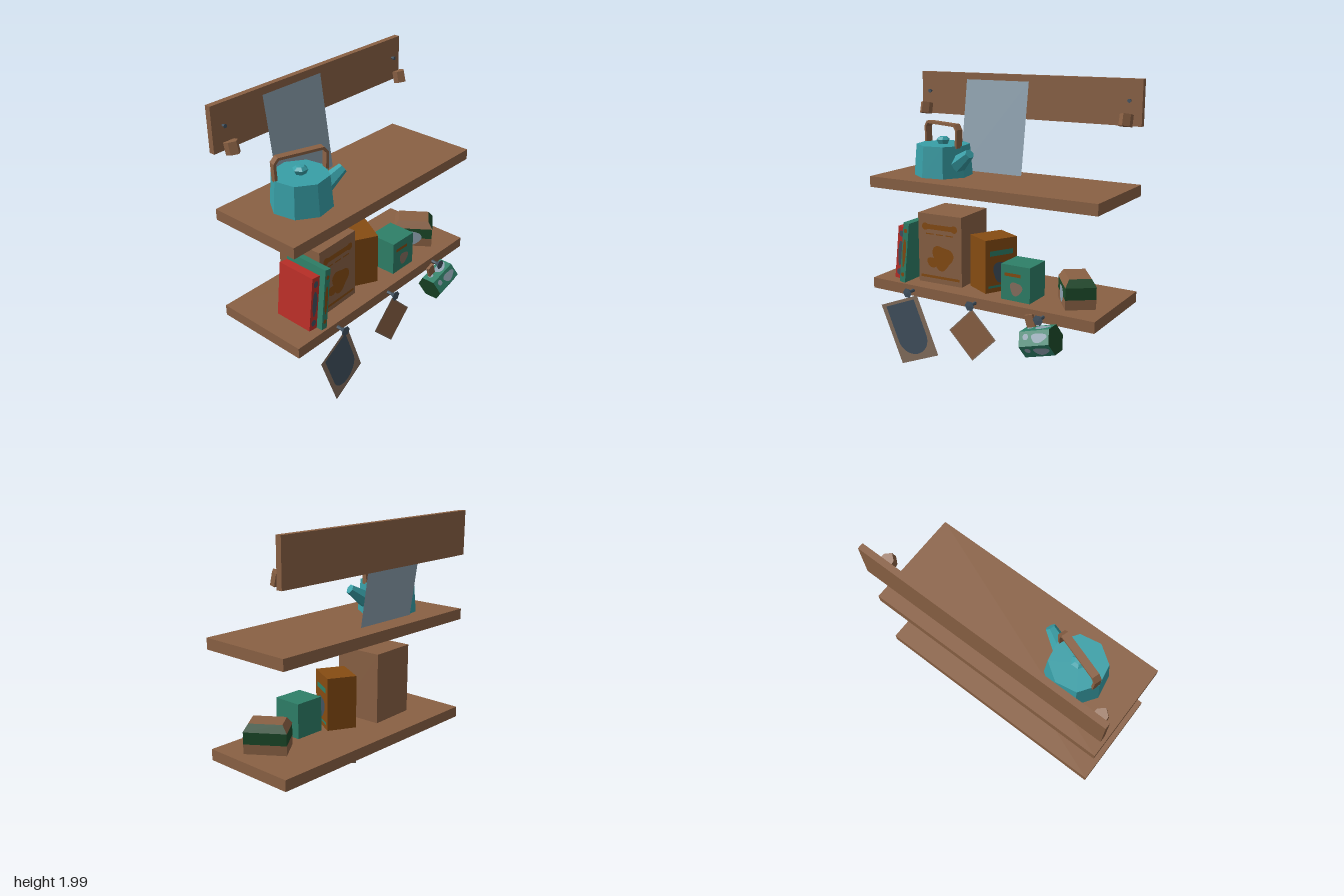
import * as THREE from 'three';

const mat = (name, color, flat = true) => {
  const m = new THREE.MeshStandardMaterial({ color, side: THREE.DoubleSide, flatShading: flat });
  m.name = name;
  return m;
};

export function createModel() {
  const wood = mat('wood brown', 0x8a6144);
  const slate = mat('dark slate', 0x425260);
  const glass = mat('pale blue grey', 0x8b9fad);
  const taupe = mat('taupe', 0x86705f);
  const teal = mat('kettle teal', 0x389fa7);
  const green = mat('sea green', 0x2e8068);
  const darkGreen = mat('dark green', 0x1c4a2a);
  const red = mat('red', 0xbb2f28);
  const orange = mat('burnt orange', 0x864c12);

  const root = new THREE.Group();
  root.name = 'kitchenShelf';

  const add = (parent, name, geo, material, x = 0, y = 0, z = 0) => {
    const m = new THREE.Mesh(geo, material);
    m.name = name;
    m.position.set(x, y, z);
    parent.add(m);
    return m;
  };
  const group = (name, x, y, z, parent = root) => {
    const g = new THREE.Group();
    g.name = name;
    g.position.set(x, y, z);
    parent.add(g);
    return g;
  };
  const box = (parent, name, w, h, d, m, x, y, z) => add(parent, name, new THREE.BoxGeometry(w, h, d), m, x, y, z);
  const poly = (pts) => new THREE.Shape(pts.map((p) => new THREE.Vector2(p[0], p[1])));

  // Flat painted details; they face +x, with u running towards -z
  const blob = (rx, ry, wave = 0) => {
    const pts = [];
    for (let i = 0; i < 28; i++) {
      const a = (i / 28) * Math.PI * 2;
      const k = 1 + wave * Math.sin(3 * a + 0.6);
      pts.push([rx * k * Math.cos(a), ry * k * Math.sin(a)]);
    }
    return poly(pts);
  };
  const bar = (w, h) => poly([[-w / 2, -h / 2], [w / 2, -h / 2], [w / 2, h / 2], [-w / 2, h / 2]]);
  const paint = (parent, name, shape, m, x, y, z) => {
    const p = add(parent, name, new THREE.ShapeGeometry(shape), m, x, y, z);
    p.rotation.y = Math.PI / 2;
    return p;
  };

  // Shelves and back board
  box(root, 'backBoard', 0.04, 0.3, 1.71, wood, -0.395, 1.85, 0);
  box(root, 'upperShelf', 0.675, 0.075, 1.71, wood, -0.0775, 1.2825, 0);
  box(root, 'lowerShelf', 0.675, 0.075, 1.71, wood, -0.0775, 0.5525, 0);

  // Leaning pane
  const pane = add(root, 'leaningPane', new THREE.PlaneGeometry(0.5, 0.642), glass, -0.318, 1.638, 0.21);
  pane.rotation.set(0, Math.PI / 2, Math.atan2(0.095, 0.635), 'ZYX');

  // Nails and small brown blocks at both ends of the board
  for (const s of [-1, 1]) {
    const nail = add(root, 'boardNail', new THREE.CylinderGeometry(0.014, 0.006, 0.028, 6), slate, -0.362, 1.863, 0.775 * s);
    nail.rotation.z = -Math.PI / 2;
    const g = group('smallPegBlock', -0.288, 1.748, 0.775 * s);
    g.rotation.z = 0.24;
    const geo = new THREE.ExtrudeGeometry(
      poly([[-0.035, -0.042], [0.003, -0.038], [0.036, 0], [0.003, 0.038], [-0.035, 0.042]]),
      { depth: 0.078, bevelEnabled: false });
    geo.translate(0, 0, -0.039);
    geo.rotateX(-Math.PI / 2);
    add(g, 'pegBlock', geo, wood);
  }

  // Kettle: octagonal body, lid knob, strap handle, angled spout
  const kettle = group('kettle', -0.065, 1.32, 0.463);
  const body = add(kettle, 'kettleBody', new THREE.CylinderGeometry(0.184, 0.202, 0.215, 8), teal, 0, 0.1075, 0);
  body.rotation.y = THREE.MathUtils.degToRad(33);
  add(kettle, 'lidKnob', new THREE.LatheGeometry(
    [[0.001, 0.215], [0.036, 0.215], [0.05, 0.245], [0.028, 0.263], [0, 0.265]].map((p) => new THREE.Vector2(...p)), 6), teal);
  const axis = group('kettleAxis', 0, 0, 0, kettle);
  axis.rotation.y = 1.245;
  const strap = new THREE.ExtrudeGeometry(poly([
    [-0.18, 0.2], [-0.185, 0.325], [-0.155, 0.362], [0.155, 0.362], [0.185, 0.325], [0.18, 0.2],
    [0.162, 0.2], [0.167, 0.32], [0.147, 0.344], [-0.147, 0.344], [-0.167, 0.32], [-0.162, 0.2]]),
  { depth: 0.05, bevelEnabled: false });
  strap.translate(0, 0, -0.025);
  add(axis, 'kettleHandle', strap, wood);
  const from = new THREE.Vector3(0.16, 0.09, 0), to = new THREE.Vector3(0.293, 0.178, 0);
  const spout = add(axis, 'kettleSpout', new THREE.CylinderGeometry(0.034, 0.062, from.distanceTo(to), 6), teal);
  spout.position.lerpVectors(from, to, 0.5);
  spout.quaternion.setFromUnitVectors(new THREE.Vector3(0, 1, 0), to.clone().sub(from).normalize());

  // Leaning books with painted spines
  const book = (name, w, h, t, m, ink, x, y, z) => {
    const g = group(name, x, y, z);
    g.rotation.x = -0.113;
    box(g, 'bookBlock', w, h, t, m, 0, 0, 0);
    const f = w / 2 + 0.002;
    paint(g, 'spineLabel', blob(t * 0.3, h * 0.24, 0.06), ink, f, 0, 0);
    for (const s of [-1, 1]) paint(g, 'spineDot', blob(t * 0.3, t * 0.35), ink, f, s * h * 0.37, 0);
  };
  book('redBook', 0.285, 0.378, 0.065, red, slate, 0.0625, 0.79, 0.65);
  book('greenBook', 0.33, 0.43, 0.045, green, orange, 0.08, 0.807, 0.588);

  // Large brown carton
  const carton = group('brownCarton', -0.0325, 0.59, 0.37);
  carton.rotation.y = 0.04;
  box(carton, 'cartonBody', 0.342, 0.49, 0.346, wood, 0, 0.245, 0);
  paint(carton, 'cartonBanner', bar(0.25, 0.035), orange, 0.173, 0.4, 0);
  for (const s of [-1, 1]) paint(carton, 'bannerEnd', blob(0.026, 0.026), orange, 0.174, 0.4, s * 0.115);
  for (const s of [-1, 0, 1]) paint(carton, 'cartonLine', bar(0.06, 0.008), orange, 0.173, 0.35, s * 0.08);
  paint(carton, 'cartonEmblem', blob(0.08, 0.085, 0.16), orange, 0.173, 0.19, -0.02);
  paint(carton, 'emblemTail', blob(0.05, 0.035, 0.1), orange, 0.174, 0.15, 0.055);
  paint(carton, 'cartonFooter', bar(0.31, 0.018), orange, 0.173, 0.045, 0);

  // Orange box turned on the shelf
  const tin = group('orangeBox', 0, 0.59, 0.0175);
  tin.rotation.y = -THREE.MathUtils.degToRad(28);
  box(tin, 'orangeBoxBody', 0.245, 0.365, 0.204, orange, 0, 0.1825, 0);
  const tinFace = group('orangeBoxFace', 0, 0, -0.104, tin);
  tinFace.rotation.y = Math.PI / 2;
  paint(tinFace, 'boxBanner', bar(0.18, 0.035), green, 0, 0.27, 0);
  paint(tinFace, 'boxEmblem', blob(0.065, 0.07, 0.12), slate, 0, 0.14, 0);
  paint(tinFace, 'boxFooter', bar(0.2, 0.016), green, 0, 0.04, 0);

  // Small green box
  const small = group('greenBox', 0.08, 0.59, -0.258);
  box(small, 'greenBoxBody', 0.205, 0.24, 0.215, green, 0, 0.12, 0);
  paint(small, 'greenBoxBanner', bar(0.12, 0.022), orange, 0.105, 0.175, 0.02);
  paint(small, 'greenBoxEmblem', blob(0.045, 0.045, 0.12), taupe, 0.105, 0.085, -0.005);

  // Two-tone chest with a sloped lid
  const chest = group('chest', 0, 0.59, -0.61);
  chest.rotation.y = -THREE.MathUtils.degToRad(54);
  box(chest, 'chestBase', 0.198, 0.065, 0.275, wood, 0, 0.0325, 0);
  box(chest, 'chestBand', 0.198, 0.08, 0.275, darkGreen, 0, 0.105, 0);
  const lid = new THREE.BoxGeometry(0.2, 0.05, 0.278);
  const lp = lid.attributes.position;
  for (let i = 0; i < lp.count; i++) {
    if (lp.getY(i) > 0) lp.setXYZ(i, lp.getX(i) * 0.72, lp.getY(i), lp.getZ(i) * 0.78);
  }
  add(chest, 'chestLid', lid, [wood, darkGreen, wood, darkGreen, wood, darkGreen], 0, 0.17, 0);
  paint(chest, 'chestEmblem', blob(0.06, 0.055, 0.08), glass, 0.101, 0.07, 0);

  // Flared hooks along the lower shelf edge
  for (const z of [0.505, 0, -0.505]) {
    const hook = add(root, 'hook', new THREE.LatheGeometry(
      [[0, 0], [0.012, 0], [0.01, 0.035], [0.02, 0.055], [0.036, 0.072], [0, 0.075]].map((p) => new THREE.Vector2(...p)), 6),
    slate, 0.26, 0.555, z);
    hook.rotation.z = -Math.PI / 2;
  }

  // Hanging board with a rounded dark panel on both sides
  const tagTurn = group('hangingBoard', 0.303, 0.276, 0.515);
  tagTurn.rotation.y = Math.PI / 2 + 0.122;
  const tag = group('boardTilt', 0, 0, 0, tagTurn);
  tag.rotation.z = 0.365;
  add(tag, 'boardSheet', new THREE.PlaneGeometry(0.306, 0.442), taupe);
  const arch = new THREE.Shape();
  arch.moveTo(-0.118, 0.2);
  arch.lineTo(-0.118, -0.06);
  arch.absarc(0, -0.06, 0.118, Math.PI, Math.PI * 2, false);
  arch.lineTo(0.118, 0.2);
  for (const s of [-1, 1]) add(tag, 'boardPanel', new THREE.ShapeGeometry(arch, 10), slate, 0, 0, s * 0.002);

  // Hanging diamond cloth
  const diamond = (r) => poly([[0, -r], [r, 0], [0, r], [-r, 0]]);
  paint(root, 'diamondEdge', diamond(0.182), taupe, 0.3, 0.343, 0);
  for (const s of [-1, 1]) paint(root, 'diamondCloth', diamond(0.17), wood, 0.3 + s * 0.002, 0.343, 0);

  // Hexagonal canister hanging from a strap
  const can = group('hangingCanister', 0.3125, 0.417, -0.518);
  can.rotation.x = 0.28;
  const canGeo = new THREE.CylinderGeometry(0.0975, 0.0975, 0.217, 6);
  canGeo.rotateY(Math.PI / 2);
  canGeo.rotateX(Math.PI / 2);
  const canBody = add(can, 'canisterBody', canGeo, [green, darkGreen, darkGreen]);
  canBody.rotation.z = 0;
  for (let i = 0; i < 6; i++) {
    const side = group('canisterSide', 0, 0, 0, can);
    side.rotation.z = Math.PI / 6 + (i * Math.PI) / 3;
    paint(side, 'canisterPatch', blob(0.055, 0.03, 0.12), glass, 0.0865, 0, -0.035);
    paint(side, 'canisterDot', blob(0.02, 0.02), glass, 0.0865, 0.012, 0.06);
  }
  const loop = box(root, 'canisterStrap', 0.02, 0.08, 0.06, wood, 0.3, 0.53, -0.435);
  loop.rotation.x = 0.3;

  return root;
}
